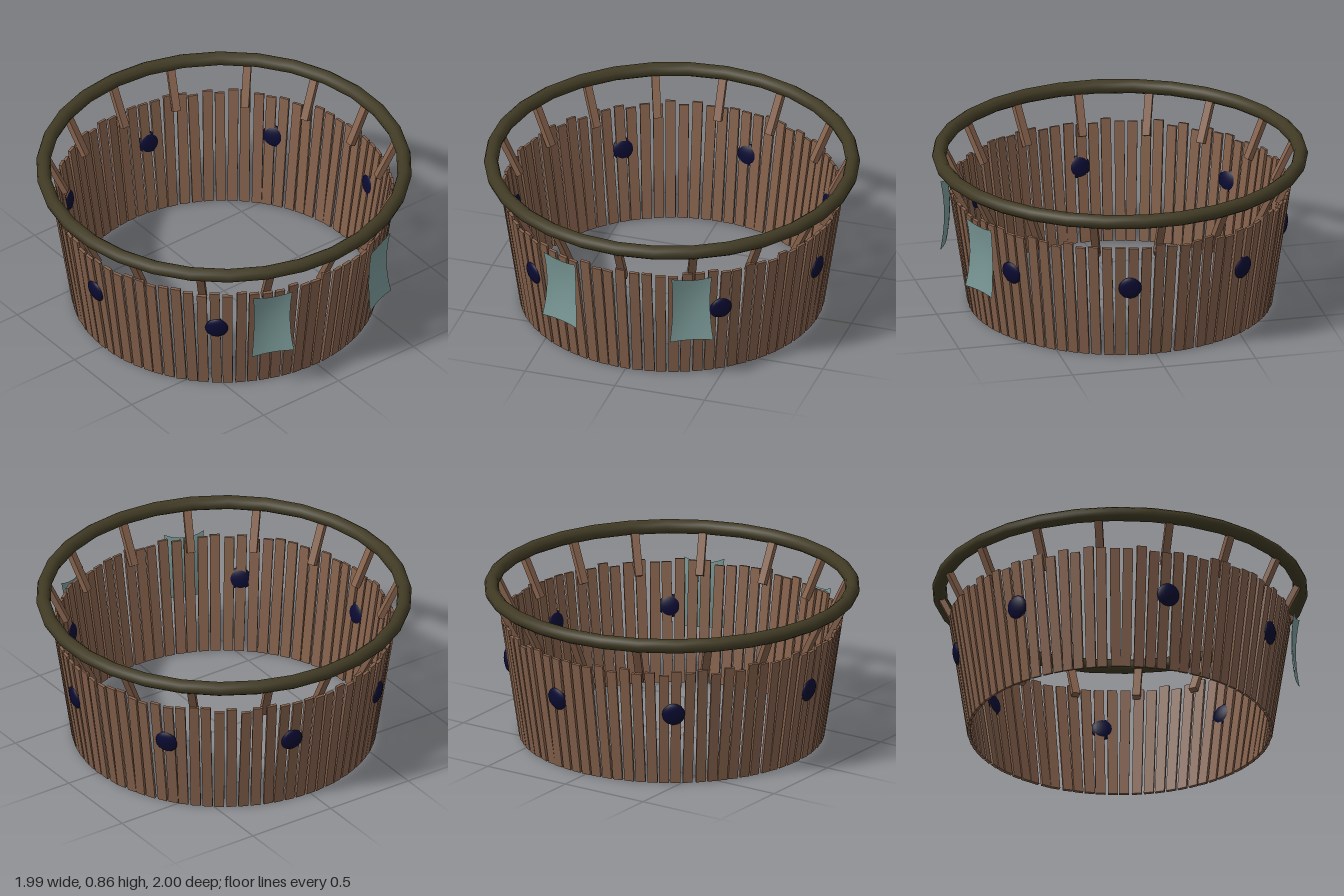
import * as THREE from 'three';

const mat = (name, color, side = THREE.FrontSide) => {
  const m = new THREE.MeshStandardMaterial({ color, side });
  m.name = name;
  return m;
};

// Seeded random in [-1, 1]
let seed = 7;
const jitter = () => {
  seed = (seed * 16807) % 2147483647;
  return (seed / 2147483647) * 2 - 1;
};

const rad = THREE.MathUtils.degToRad;

// Pivot turned so its local +z points outward; 0 degrees is the front
function spoke(parent, name, degrees) {
  const g = new THREE.Group();
  g.name = name;
  g.rotation.y = rad(degrees);
  parent.add(g);
  return g;
}

// Bar between two (radius, height) points within a spoke
function bar(parent, name, geometry, material, [r0, y0], [r1, y1]) {
  const mesh = new THREE.Mesh(geometry, material);
  mesh.name = name;
  mesh.scale.y = Math.hypot(r1 - r0, y1 - y0);
  mesh.position.set(0, (y0 + y1) / 2, (r0 + r1) / 2);
  mesh.rotation.x = Math.atan2(r1 - r0, y1 - y0);
  parent.add(mesh);
  return mesh;
}

export function createModel() {
  const model = new THREE.Group();
  model.name = 'stavedRing';
  const wood = mat('brown wood', 0x83604b);
  const rimMat = mat('dark olive', 0x403a24);
  const cloth = mat('grey teal cloth', 0x789795, THREE.DoubleSide);
  const navy = mat('dark navy', 0x0a0a32);

  // Flaring wall of separate planks
  const plankGeo = new THREE.BoxGeometry(0.053, 1, 0.016);
  const wall = new THREE.Group();
  wall.name = 'plankWall';
  model.add(wall);
  const count = 80;
  for (let i = 0; i < count; i++) {
    const s = spoke(wall, 'plankSpoke', (i * 360) / count + jitter() * 0.25);
    const top = 0.652 + jitter() * 0.015;
    const plank = bar(s, 'plank', plankGeo, wood, [0.802, 0.003], [0.899, top]);
    plank.rotation.z = jitter() * 0.012;
    plank.rotation.y = jitter() * 0.08;
  }

  // Leaning posts carrying the rim
  const postGeo = new THREE.BoxGeometry(0.042, 1, 0.03);
  const posts = new THREE.Group();
  posts.name = 'rimPosts';
  model.add(posts);
  for (const a of [0, 24.5, 46.5, 68, 90, 112, 135, 160, 181, 203, 226, 247, 270, 292, 315, 337.5])
    bar(spoke(posts, 'postSpoke', a), 'post', postGeo, wood, [0.845, 0.59], [0.96, 0.82]);

  // Rim
  const rim = new THREE.Mesh(new THREE.TorusGeometry(0.961, 0.038, 10, 30), rimMat);
  rim.name = 'rim';
  rim.rotation.set(Math.PI / 2, 0, Math.PI / 2);
  rim.position.y = 0.824;
  model.add(rim);

  // Flattened studs set through the wall
  const studGeo = new THREE.SphereGeometry(1, 16, 12);
  for (const a of [35, 80, 125, 170, 215, 271, 320]) {
    const stud = new THREE.Mesh(studGeo, navy);
    stud.name = 'stud';
    stud.scale.set(0.062, 0.063, 0.024);
    stud.position.set(0, 0.41, 0.868);
    stud.rotation.x = 0.15;
    spoke(model, 'studSpoke', a).add(stud);
  }

  // Hanging cloths: sagging top edge, waisted sides, ends curling outward
  const clothGeo = new THREE.PlaneGeometry(2, 2, 8, 8);
  const p = clothGeo.attributes.position;
  for (let i = 0; i < p.count; i++) {
    const u = p.getX(i), v = p.getY(i);
    const half = 0.1 + 0.012 * v * v - 0.004 * v;
    const sag = 0.022 * (1 - u * u) * Math.max(0, v);
    p.setXYZ(i, u * half, 0.463 + v * 0.194 - sag, 0.915 + 0.018 * v * v + 0.014 * u * u);
  }
  clothGeo.computeVertexNormals();
  for (const a of [24, -21.5]) {
    const hanging = new THREE.Mesh(clothGeo, cloth);
    hanging.name = 'hangingCloth';
    spoke(model, 'clothSpoke', a).add(hanging);
  }

  return model;
}
